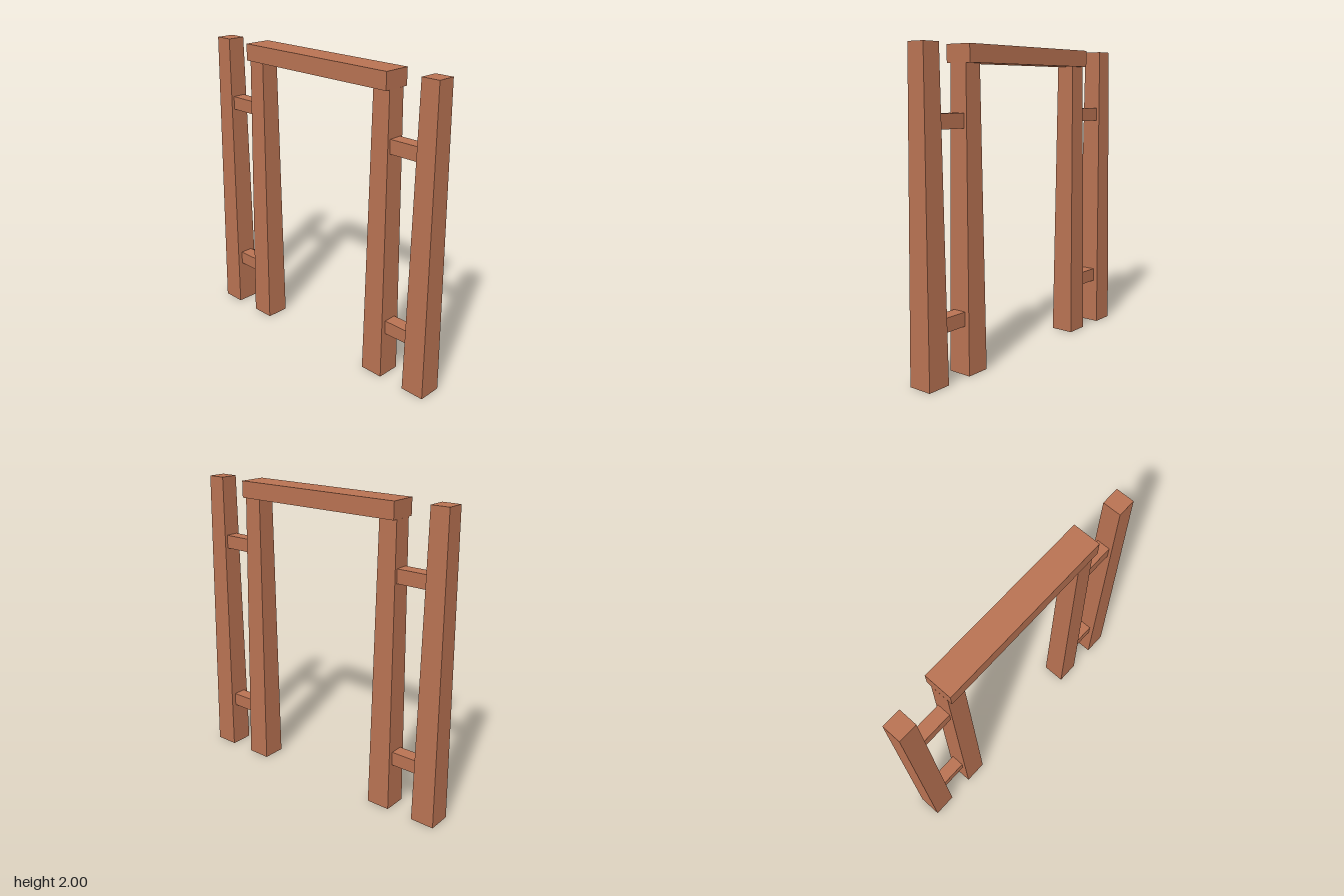
import * as THREE from 'three';

export function createModel() {
  const model = new THREE.Group();
  model.name = 'gate';
  const wood = new THREE.MeshStandardMaterial({ color: 0xb87252, flatShading: true });
  wood.name = 'red brown wood';

  const add = (name, geometry, x, y) => {
    const mesh = new THREE.Mesh(geometry, wood);
    mesh.name = name;
    mesh.position.set(x, y, 0);
    model.add(mesh);
  };

  // Square post standing on the ground, narrowing towards the top
  const taperedPost = (height) =>
    new THREE.CylinderGeometry(0.061 * Math.SQRT2, 0.08 * Math.SQRT2, height, 4)
      .rotateY(Math.PI / 4);

  const beamHeight = 0.11;
  const innerHeight = 2 - beamHeight;

  for (const [side, s] of [['left', 1], ['right', -1]]) {
    add(side + 'OuterPost', taperedPost(2), s * 0.882, 1);
    add(side + 'InnerPost', taperedPost(innerHeight), s * 0.542, innerHeight / 2);

    // Rungs joining each pair of posts, let slightly into the wood
    for (const [level, y] of [['Lower', 0.355], ['Upper', 1.555]]) {
      add(side + level + 'Rung', new THREE.BoxGeometry(0.24, 0.09, 0.09), s * 0.712, y);
    }
  }

  // Crossbeam resting on the inner posts
  add('crossbeam', new THREE.BoxGeometry(1.205, beamHeight, 0.184), 0, 2 - beamHeight / 2);

  return model;
}
